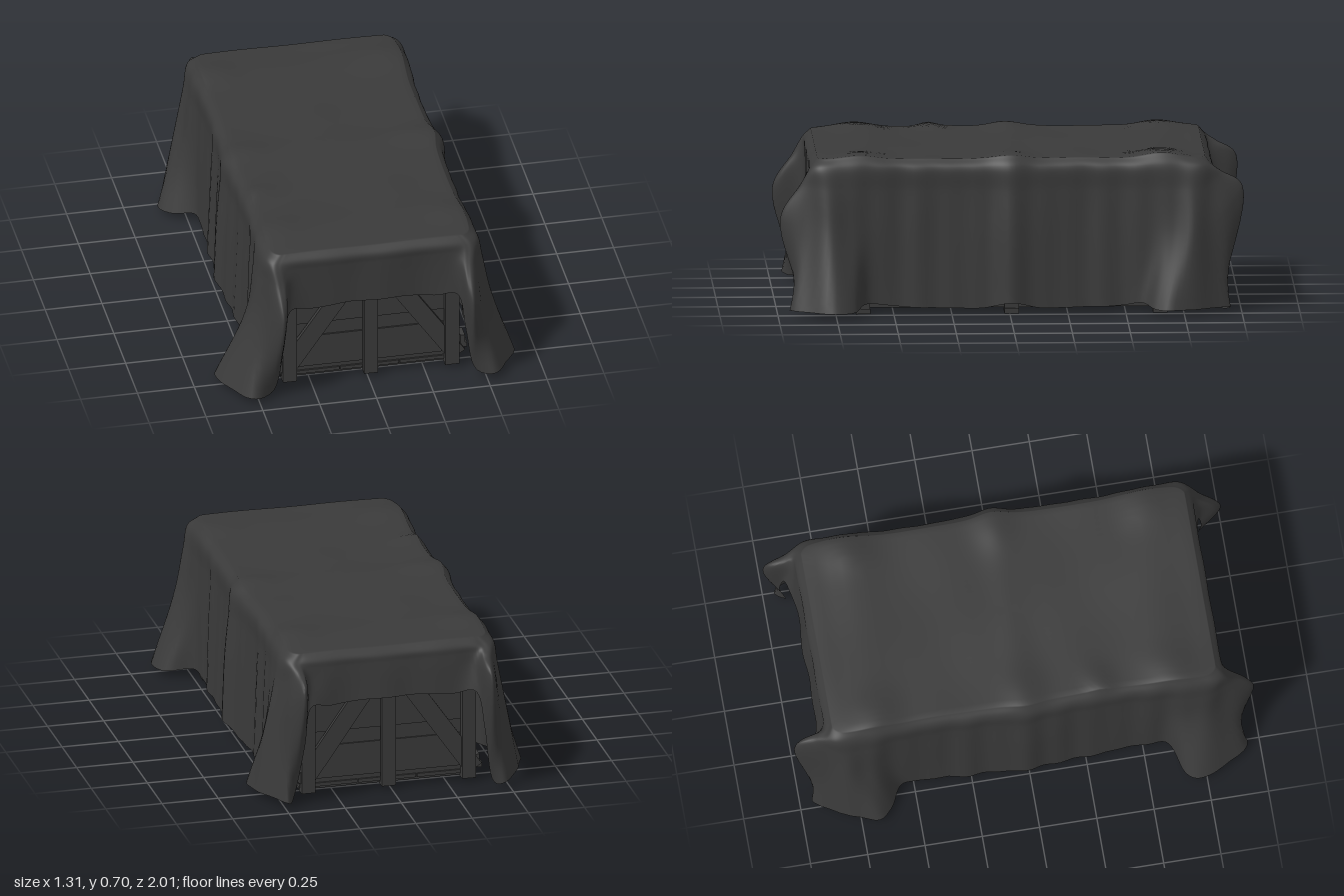
import * as THREE from 'three';

const CX = 0.013; // crate and cloth sit slightly off centre
const V = (x, y, z) => new THREE.Vector3(x, y, z);

// Columns of the cloth for one corner, from the middle of the long side to the middle of the end.
// Each column: rim [x, z], half-way point [x, y, z], hem [x, y, z].
// flare: reach of the corner flap, back: shift of the flap, lift and out: raise and push out the end hem.
function cornerColumns(flare, back, ridgeY, lift, out) {
  return [
    [[0.482, 0], [0.508, 0.35, 0], [0.52, 0.055, 0]],
    [[0.465, 0.12], [0.482, 0.35, 0.12], [0.492, 0.03, 0.12]],
    [[0.46, 0.28], [0.472, 0.35, 0.28], [0.485, 0.03, 0.28]],
    [[0.46, 0.45], [0.472, 0.35, 0.45], [0.48, 0.035, 0.46]],
    [[0.468, 0.6], [0.482, 0.35, 0.6], [0.492, 0.05, 0.62 - back]],
    [[0.472, 0.69], [0.51, 0.34, 0.69], [flare - 0.03, 0.03, 0.68 - back]],
    [[0.472, 0.77], [0.53, 0.35, 0.77], [flare, 0.03, 0.78 - back]],
    [[0.465, 0.83], [0.49, 0.38, 0.86], [flare - 0.11, 0.03, 0.955 - back / 3]],
    [[0.44, 0.862], [0.43, ridgeY, 0.99], [0.44, 0.035, 0.9]],
    [[0.41, 0.866], [0.4, ridgeY + 0.04, 0.975], [0.4, 0.24 + lift, 0.91 + out]],
    [[0.375, 0.866], [0.37, 0.54 + lift / 2, 0.885], [0.37, 0.405 + lift, 0.89 + out]],
    [[0.27, 0.866], [0.27, 0.54 + lift / 2, 0.866 + out / 2], [0.27, 0.4 + lift, 0.866 + out]],
    [[0.12, 0.866], [0.12, 0.54 + lift / 2, 0.864 + out / 2], [0.12, 0.412 + lift, 0.864 + out]],
    [[0, 0.866], [0, 0.54 + lift / 2, 0.868 + out / 2], [0, 0.412 + lift, 0.87 + out]],
  ];
}

const blob = (d, w) => Math.exp(-((d / w) ** 2));

// Cloth rises over the frame posts and sags between them
function bump(x, z) {
  const edge = 0.4 + 0.6 * blob(Math.abs(x) - 0.38, 0.1);
  const posts = 0.027 * blob(z + 0.65, 0.1) + 0.018 * blob(z, 0.08) + 0.022 * blob(z - 0.65, 0.1);
  const wrinkle = 0.018 * blob(z - 0.33, 0.045) * blob(x + 0.4, 0.08);
  return edge * posts + wrinkle + 0.003 * Math.sin(9 * x + 7 * z) * Math.sin(11 * z - 4 * x);
}

function clothGeometry() {
  const ring = [];
  [
    [1, 1, 0.635, 0, 0.4, 0, 0],
    [-1, 1, 0.66, 0.01, 0.4, 0, 0],
    [-1, -1, 0.615, 0.07, 0.52, 0.04, 0.022],
    [1, -1, 0.595, 0.06, 0.52, 0.04, 0.022],
  ].forEach(([sx, sz, ...shape], q) => {
    let cols = cornerColumns(...shape);
    if (q % 2) cols = cols.reverse().slice(1, -1);
    for (const [r, m, h] of cols) {
      ring.push([V(sx * r[0], 0.638, sz * r[1]), V(sx * m[0], m[1], sz * m[2]), V(sx * h[0], h[1], sz * h[2])]);
    }
  });
  const curves = [0, 1, 2].map(i => new THREE.CatmullRomCurve3(ring.map(c => c[i]), true, 'catmullrom', 0.5));
  const NU = 312, TOP = 16, SIDE = 32, ROWS = TOP + SIDE;
  const pos = [], index = [];
  for (let i = 0; i < NU; i++) {
    const [rim, mid, hem] = curves.map(c => c.getPoint(i / NU));
    const inset = V(rim.x * 0.93, 0.674, rim.z * 0.965);
    const shoulder = rim.clone().lerp(mid, 0.35);
    const drape = new THREE.CatmullRomCurve3([inset, rim, shoulder, mid, hem]);
    for (let j = 0; j <= ROWS; j++) {
      let p;
      if (j < TOP) {
        const s = j / TOP;
        p = V(inset.x * s, 0.674, inset.z * s);
        p.y += bump(p.x, p.z);
      } else {
        const t = (j - TOP) / SIDE;
        p = drape.getPoint(t);
        p.y += bump(p.x, p.z) * Math.max(0, 1 - t * 2.2);
        // vertical folds, uneven along the side and stronger towards the hem
        const side = THREE.MathUtils.smoothstep(Math.abs(p.x), 0.44, 0.47);
        const fold = Math.sin(23 * p.z + 2 * Math.sign(p.x)) * Math.sin(9 * p.z + 1) + 0.5 * Math.sin(47 * p.z + 1.3);
        p.x += Math.sign(p.x) * side * 0.006 * fold * Math.min(1, t * 1.6);
        p.z += Math.sign(p.z) * (1 - side) * 0.004 * Math.sin(24 * p.x) * t;
      }
      pos.push(p.x + CX, p.y, p.z - 0.008);
    }
  }
  const id = (i, j) => (i % NU) * (ROWS + 1) + j;
  for (let i = 0; i < NU; i++) {
    for (let j = 0; j < ROWS; j++) {
      const a = id(i, j), b = id(i + 1, j), c = id(i, j + 1), d = id(i + 1, j + 1);
      if (j > 0) index.push(a, b, c);
      index.push(b, d, c);
    }
  }
  const g = new THREE.BufferGeometry();
  g.setAttribute('position', new THREE.Float32BufferAttribute(pos, 3));
  g.setIndex(index);
  g.computeVertexNormals();
  // the rows meet in one point at the middle of the top
  for (let i = 0; i < NU; i++) g.attributes.normal.setXYZ(id(i, 0), 0, 1, 0);
  return g;
}

export function createModel() {
  const model = new THREE.Group();
  const wood = new THREE.MeshStandardMaterial({ color: 0x3a3a3a });
  const fabric = new THREE.MeshStandardMaterial({ color: 0x3a3a3a, side: THREE.DoubleSide });

  const cloth = new THREE.Mesh(clothGeometry(), fabric);
  cloth.name = 'cloth';
  model.add(cloth);

  const crate = new THREE.Group();
  crate.name = 'crate';
  crate.position.set(CX, 0, -0.008);
  model.add(crate);
  const box = (name, w, h, d, x, y, z) => {
    const m = new THREE.Mesh(new THREE.BoxGeometry(w, h, d), wood);
    m.name = name;
    m.position.set(x, y, z);
    crate.add(m);
    return m;
  };

  // Wall boards, wide and narrow in turn; the narrow ones lie behind and overlap the wide ones
  const levels = [0.034, 0.07, 0.22, 0.285, 0.435, 0.5, 0.645];
  for (let i = 0; i < levels.length - 1; i++) {
    const narrow = i % 2 === 0;
    const h = levels[i + 1] - levels[i] + (narrow ? 0.02 : 0);
    const y = (levels[i] + levels[i + 1]) / 2;
    const t = narrow ? 0.012 : 0.026;
    for (const s of [-1, 1]) {
      box('endBoard', 0.78, h, t, 0, y, s * 0.786);
      box('sideBoard', t, h, 1.57, s * 0.377, y, 0);
    }
  }

  // Floor boards running lengthwise
  for (let i = 0; i < 3; i++) box('floorBoard', 0.258, 0.016, 1.6, (i - 1) * 0.262, 0.042, 0);

  // Skids, cross beams with end blocks, and posts
  for (const x of [-0.357, 0, 0.357]) {
    box('skid', 0.062, 0.022, 1.64, x, 0.028, 0);
    for (const s of [-1, 1]) box('endPost', 0.062, 0.62, 0.03, x, 0.328, s * 0.815);
  }
  for (const z of [-0.64, 0, 0.64]) {
    box('crossBeam', 0.91, 0.022, 0.062, 0, 0.011, z);
    for (const s of [-1, 1]) {
      box('beamBlock', 0.02, 0.038, 0.062, s * 0.435, 0.041, z);
      box('sidePost', 0.024, 0.6, 0.062, s * 0.4, 0.34, z);
    }
  }

  // Diagonal braces on both ends, running down into the corner by the outer posts
  const dx = 0.4, dy = 0.58;
  for (const sx of [-1, 1]) {
    for (const sz of [-1, 1]) {
      const b = box('brace', Math.hypot(dx, dy), 0.08, 0.018, sx * 0.183, 0.345, sz * 0.808);
      b.rotation.z = -sx * Math.atan2(dy, dx);
    }
  }
  return model;
}
